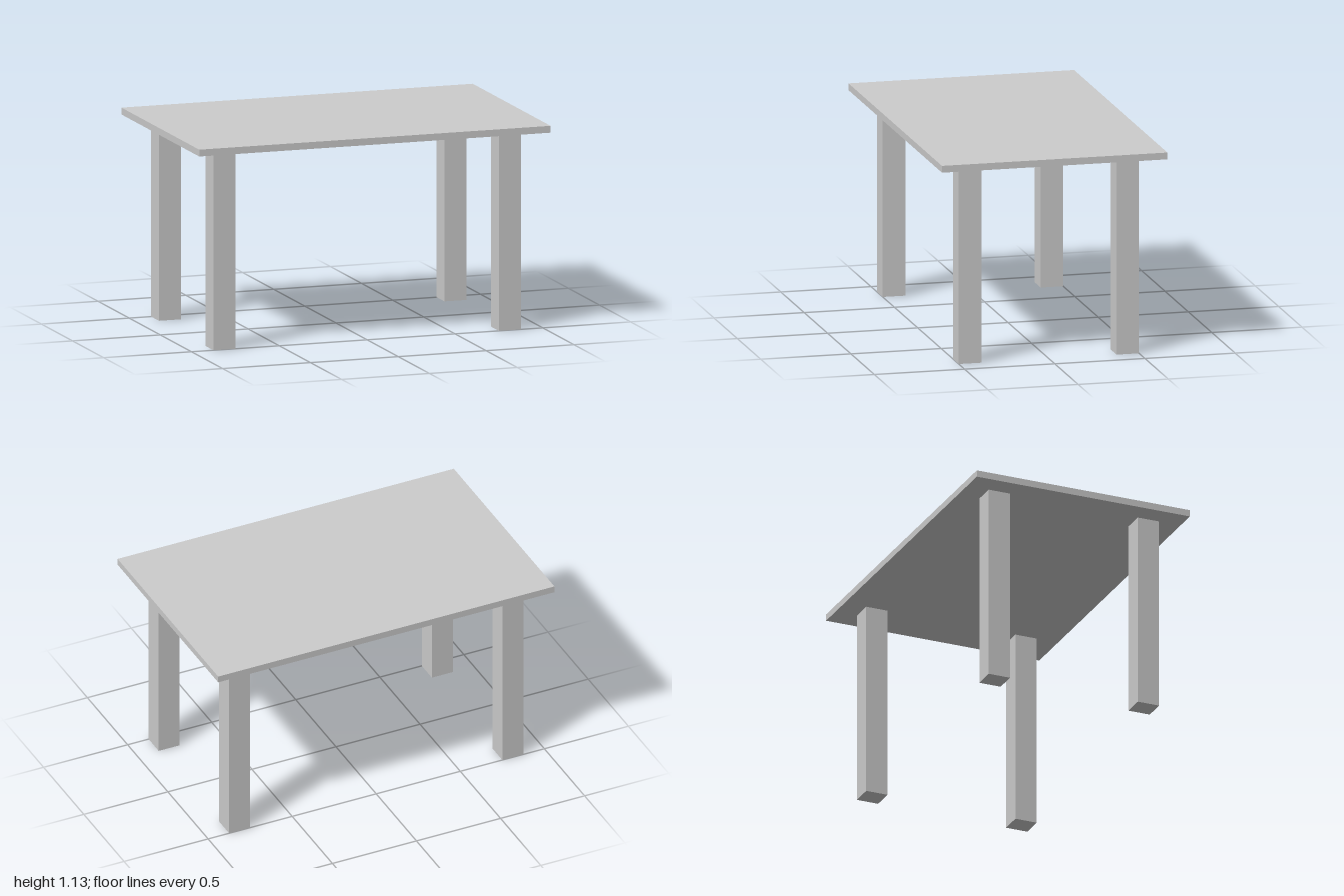
import * as THREE from 'three';

export function createModel() {
  const table = new THREE.Group();
  table.name = 'table';
  const material = new THREE.MeshStandardMaterial({ color: 0xcccccc, flatShading: true });

  const legHeight = 1.09;
  const legWidth = 0.125;
  const topThickness = 0.0375;

  // Thin rectangular slab resting on the legs
  const top = new THREE.Mesh(new THREE.BoxGeometry(2, topThickness, 1.25), material);
  top.name = 'tableTop';
  top.position.y = legHeight + topThickness / 2;
  table.add(top);

  // Four square legs, inset from the corners
  const legGeometry = new THREE.BoxGeometry(legWidth, legHeight, legWidth);
  for (const [sideName, sx] of [['Left', 1], ['Right', -1]]) {
    for (const [endName, sz] of [['front', 1], ['back', -1]]) {
      const leg = new THREE.Mesh(legGeometry, material);
      leg.name = `${endName}${sideName}Leg`;
      leg.position.set(sx * 0.8125, legHeight / 2, sz * 0.4375);
      table.add(leg);
    }
  }

  return table;
}
